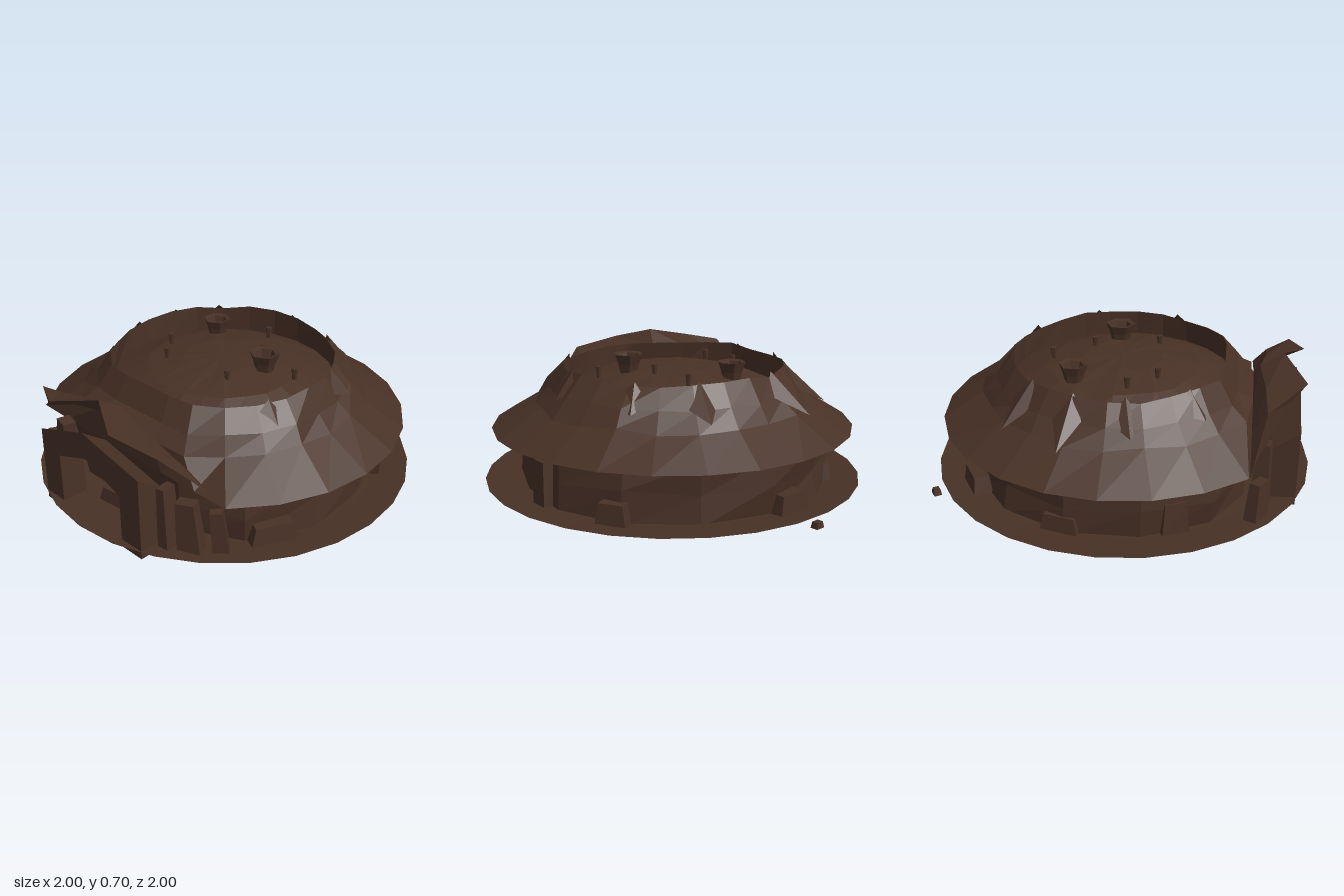
import * as THREE from 'three';

export function createModel() {
  const model = new THREE.Group();
  const earth = new THREE.MeshStandardMaterial({ color: 0x483126, flatShading: true, side: THREE.DoubleSide });
  earth.name = 'dark earth';

  let seed = 7;
  const jitter = (amount) => {
    seed = (seed * 16807) % 2147483647;
    return (seed / 2147483647 - 0.5) * 2 * amount;
  };
  const add = (name, geometry, parent = model) => {
    const mesh = new THREE.Mesh(geometry, earth);
    mesh.name = name;
    parent.add(mesh);
    return mesh;
  };

  // Skin between rows of points; closed rows wrap around
  const loft = (rows, closed) => {
    const n = rows[0].length, index = [];
    for (let i = 0; i < rows.length - 1; i++) {
      for (let j = 0; j < (closed ? n : n - 1); j++) {
        const k = (j + 1) % n;
        const a = i * n + j, b = i * n + k, c = a + n, d = b + n;
        index.push(a, b, d, a, d, c);
      }
    }
    const g = new THREE.BufferGeometry();
    g.setAttribute('position', new THREE.Float32BufferAttribute(rows.flat(2), 3));
    g.setIndex(index);
    const flat = g.toNonIndexed();
    flat.computeVertexNormals();
    return flat;
  };

  // Ring of points, cut straight across at the front; cut points may be
  // lifted to stay on a slope; rough = [radius, height]
  const ring = (sides, r, y, front, rough = [0, 0], lift = 0) =>
    Array.from({ length: sides }, (_, j) => {
      const t = (j / sides) * Math.PI * 2, q = r + jitter(rough[0]);
      const x = Math.sin(t) * q, z = Math.min(front, Math.cos(t) * q);
      return [x, y + jitter(rough[1]) + (q - Math.hypot(x, z)) * lift, z];
    });

  // Thin ground disc with an upturned edge
  const ground = [[0, 0.02], [0.83, 0.02], [1, 0.045], [0.83, 0.036], [0, 0.03]];
  add('groundDisc', loft(ground.map(([r, y]) => ring(28, r, y, 2)), true));

  // Round wall, flattened behind the doorway
  add('wall', loft([
    ring(14, 0.81, 0.02, 0.66, [0.025, 0]),
    ring(14, 0.82, 0.18, 0.66, [0.025, 0.02]),
    ring(14, 0.815, 0.33, 0.67, [0.025, 0]),
  ], true));

  // Flared roof with a rough rim around a sunken, domed top
  add('roof', loft([
    ring(24, 0.955, 0.32, 0.68),
    ring(24, 0.74, 0.455, 0.68, [0.02, 0.012], 0.75),
    ring(24, 0.665, 0.535, 0.6, [0.02, 0.015]),
    ring(24, 0.585, 0.64, 0.53, [0.012, 0.014]),
    ring(24, 0.59, 0.5, 0.56),
    ring(24, 0.4, 0.58, 2, [0.01, 0.005]),
    ring(24, 0.2, 0.62, 2, [0.01, 0.004]),
    ring(24, 0, 0.628, 2),
  ], true));

  // Pointed ridges running down from the roof rim
  const ridges = [[-0.04, -0.72], [0.31, -0.6], [-0.57, -0.52], [-0.75, -0.23], [-0.69, 0.1], [-0.51, 0.43], [0.62, -0.25], [0.6, 0.27]];
  const ridgeGroup = new THREE.Group();
  ridgeGroup.name = 'roofRidges';
  model.add(ridgeGroup);
  for (const [x, z] of ridges) {
    const r = Math.hypot(x, z), tip = [0, 0.655, 0.58];
    const foot = [0.02, 0.335 + (0.955 - r) * 0.65, r + 0.02];
    const g = loft([[[-0.1, 0.56, 0.615], foot, [0.08, 0.56, 0.615]], [tip, tip, tip]], false);
    g.rotateY(Math.atan2(x, z));
    add('roofRidge', g, ridgeGroup);
  }

  // Ragged hood flaring up and out over the doorway
  const hood = [
    [[-0.68, 0.32, 0.68], [-0.42, 0.43, 0.68], [-0.2, 0.48, 0.68], [0, 0.5, 0.68], [0.2, 0.48, 0.68], [0.42, 0.43, 0.68], [0.68, 0.32, 0.68]],
    [[-0.62, 0.37, 0.7], [-0.42, 0.53, 0.75], [-0.22, 0.57, 0.74], [0, 0.6, 0.71], [0.18, 0.58, 0.74], [0.43, 0.51, 0.75], [0.62, 0.37, 0.7]],
    [[-0.55, 0.44, 0.75], [-0.42, 0.6, 0.85], [-0.24, 0.62, 0.94], [0, 0.675, 0.83], [0.2, 0.62, 0.94], [0.45, 0.57, 0.87], [0.55, 0.44, 0.75]],
  ];
  add('doorHood', loft(hood, false));

  // Gabled door frame: one solid outline with the opening left out
  const frame = new THREE.Shape([
    [-0.365, 0], [-0.23, 0], [-0.23, 0.31], [-0.02, 0.385], [0.225, 0.29], [0.225, 0],
    [0.365, 0], [0.365, 0.44], [-0.03, 0.525], [-0.365, 0.41],
  ].map((p) => new THREE.Vector2(...p)));
  const frameGeo = new THREE.ExtrudeGeometry(frame, { depth: 0.14, bevelEnabled: false });
  frameGeo.translate(0, 0, 0.78);
  const fp = frameGeo.attributes.position;
  for (let i = 0; i < fp.count; i++) {
    // the back slopes down from the front face
    if (fp.getZ(i) < 0.8 && fp.getY(i) > 0.4) fp.setY(i, fp.getY(i) - 0.1);
  }
  frameGeo.computeVertexNormals();
  add('doorFrame', frameGeo);

  // Leaning slabs and rocks: [x, z, width, height, depth, lean, turn]
  const slabs = [
    [-0.56, 0.72, 0.13, 0.21, 0.07, -0.1, -0.5], [-0.43, 0.74, 0.1, 0.35, 0.09, -0.08, -0.2],
    [0.41, 0.78, 0.06, 0.34, 0.1, 0.05, 0.1], [0.51, 0.73, 0.12, 0.28, 0.08, 0.08, 0.4],
    [0.62, 0.64, 0.08, 0.24, 0.06, 0.1, 0.7], [0.71, 0.4, 0.24, 0.11, 0.12, 0, 1.1],
    [-0.02, 0.72, 0.22, 0.09, 0.1, 0, 0.1], [0.7, -0.42, 0.1, 0.24, 0.08, 0, 2.1],
    [-0.72, 0.33, 0.14, 0.18, 0.08, 0, -1.1], [-0.77, -0.2, 0.2, 0.1, 0.1, 0, -1.8],
    [-0.45, -0.7, 0.2, 0.11, 0.1, 0, -2.6], [0.4, -0.74, 0.16, 0.12, 0.08, 0, 2.6],
    [-0.53, -0.9, 0.05, 0.03, 0.04, 0, 0.6],
  ];
  for (const [x, z, w, h, d, lean, turn] of slabs) {
    const g = new THREE.CylinderGeometry(0.55, 0.707, 1, 4, 1);
    g.rotateY(Math.PI / 4);
    g.scale(w, h, d);
    g.translate(0, h / 2 + 0.02, 0);
    g.rotateZ(lean);
    g.rotateY(turn);
    g.translate(x, 0, z);
    add('rockSlab', g);
  }

  // Open six-sided chimney pots: [x, z, rim height, radius]
  for (const [x, z, top, r] of [[0.24, -0.05, 0.7, 0.08], [-0.27, -0.22, 0.675, 0.075]]) {
    const cup = [[r * 0.6, top - 0.1], [r * 0.75, top - 0.05], [r, top], [r * 0.7, top - 0.005], [r * 0.5, top - 0.06], [0, top - 0.06]];
    const pot = add('chimneyPot', loft(cup.map(([q, y]) => ring(6, q, y, 2)), true));
    pot.position.set(x, 0, z);
  }

  // Small pegs scattered over the top
  for (const [x, z] of [[-0.02, -0.37], [0.12, -0.17], [0.4, -0.1], [-0.34, 0.06], [0.19, 0.17], [-0.22, 0.2]]) {
    const peg = add('roofPeg', new THREE.CylinderGeometry(0.017, 0.011, 0.06, 6));
    peg.position.set(x, 0.65 - Math.hypot(x, z) * 0.08, z);
  }

  return model;
}
